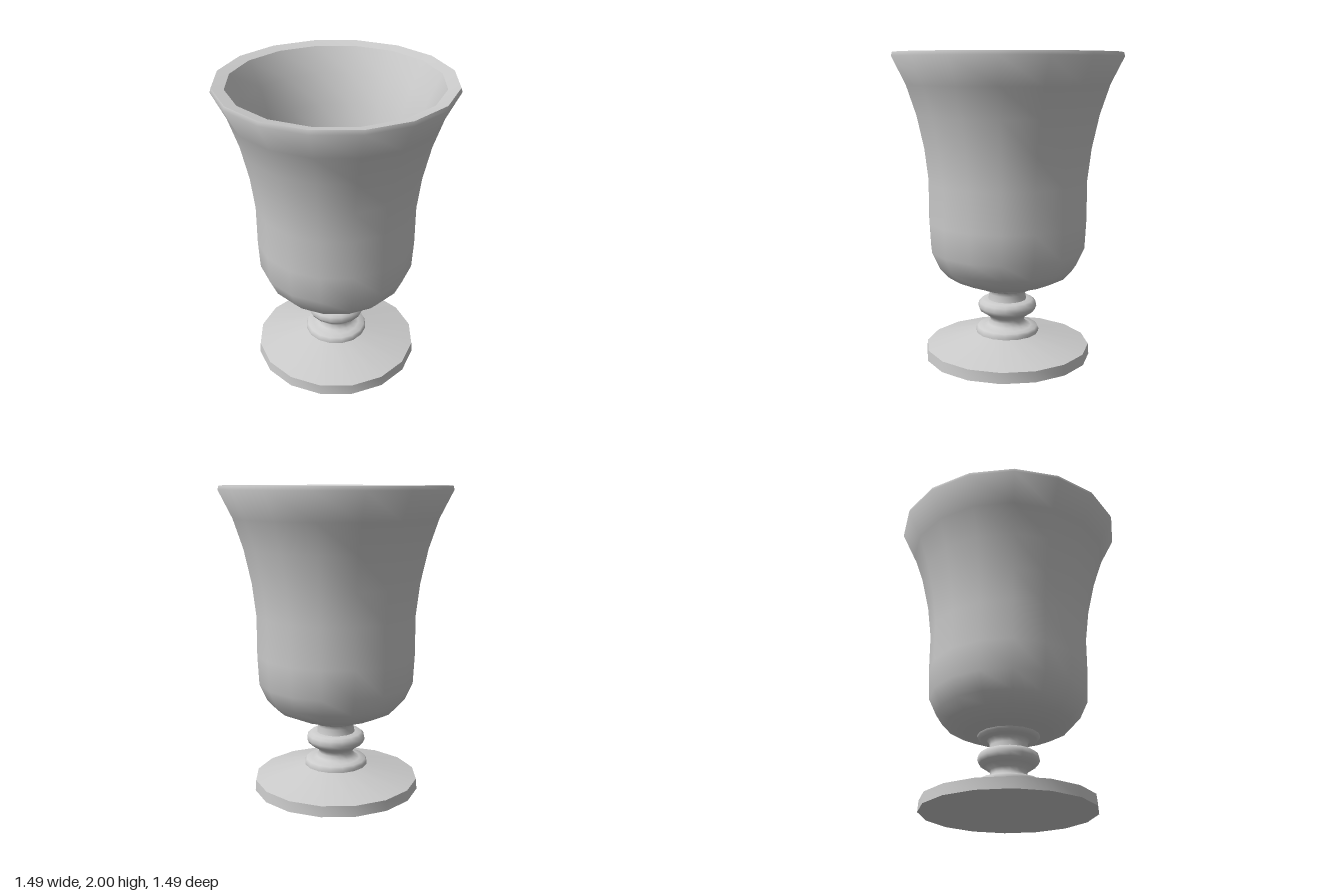
import * as THREE from 'three';
import { toCreasedNormals } from 'three/addons/utils/BufferGeometryUtils.js';

const SIDES = 16;

export function createModel() {
  const group = new THREE.Group();
  const material = new THREE.MeshStandardMaterial({ color: 0xcccccc });

  // Turned part: profile points [radius, height], running up the outer side
  function turned(name, profile, crease) {
    const points = profile.map(([r, y]) => new THREE.Vector2(r, y));
    const geometry = toCreasedNormals(new THREE.LatheGeometry(points, SIDES), crease);
    const mesh = new THREE.Mesh(geometry, material);
    mesh.name = name;
    group.add(mesh);
  }

  // Foot: flat underside, short upright edge and shallow cone
  turned('foot', [[0, 0], [0.55, 0], [0.545, 0.07], [0.21, 0.155]], 0.6);

  // Stem: stepped ring, waist, rounded knob, neck and collar
  turned('stem', [
    [0.21, 0.155], [0.21, 0.175], [0.2, 0.192], [0.16, 0.195],
    [0.13, 0.21], [0.113, 0.235], [0.12, 0.26], [0.155, 0.285],
    [0.185, 0.305], [0.196, 0.33], [0.19, 0.36], [0.17, 0.376], [0.128, 0.38],
    [0.12, 0.42], [0.123, 0.445], [0.14, 0.458], [0.175, 0.46],
    [0.195, 0.475], [0.2, 0.488],
  ], 1.0);

  // Bowl: flared outer wall, rim, then the inner wall down to a rounded floor
  turned('bowl', [
    [0.2, 0.488], [0.29, 0.505], [0.4, 0.555], [0.46, 0.62], [0.51, 0.73],
    [0.52, 0.92], [0.52, 1.18], [0.545, 1.39], [0.593, 1.61], [0.656, 1.8],
    [0.743, 1.975], [0.735, 2], [0.66, 1.985],
    [0.58, 1.82], [0.515, 1.63], [0.462, 1.4], [0.433, 1.18],
    [0.433, 0.92], [0.425, 0.76], [0.385, 0.67], [0.34, 0.62], [0.25, 0.585], [0, 0.57],
  ], 0.85);

  return group;
}
